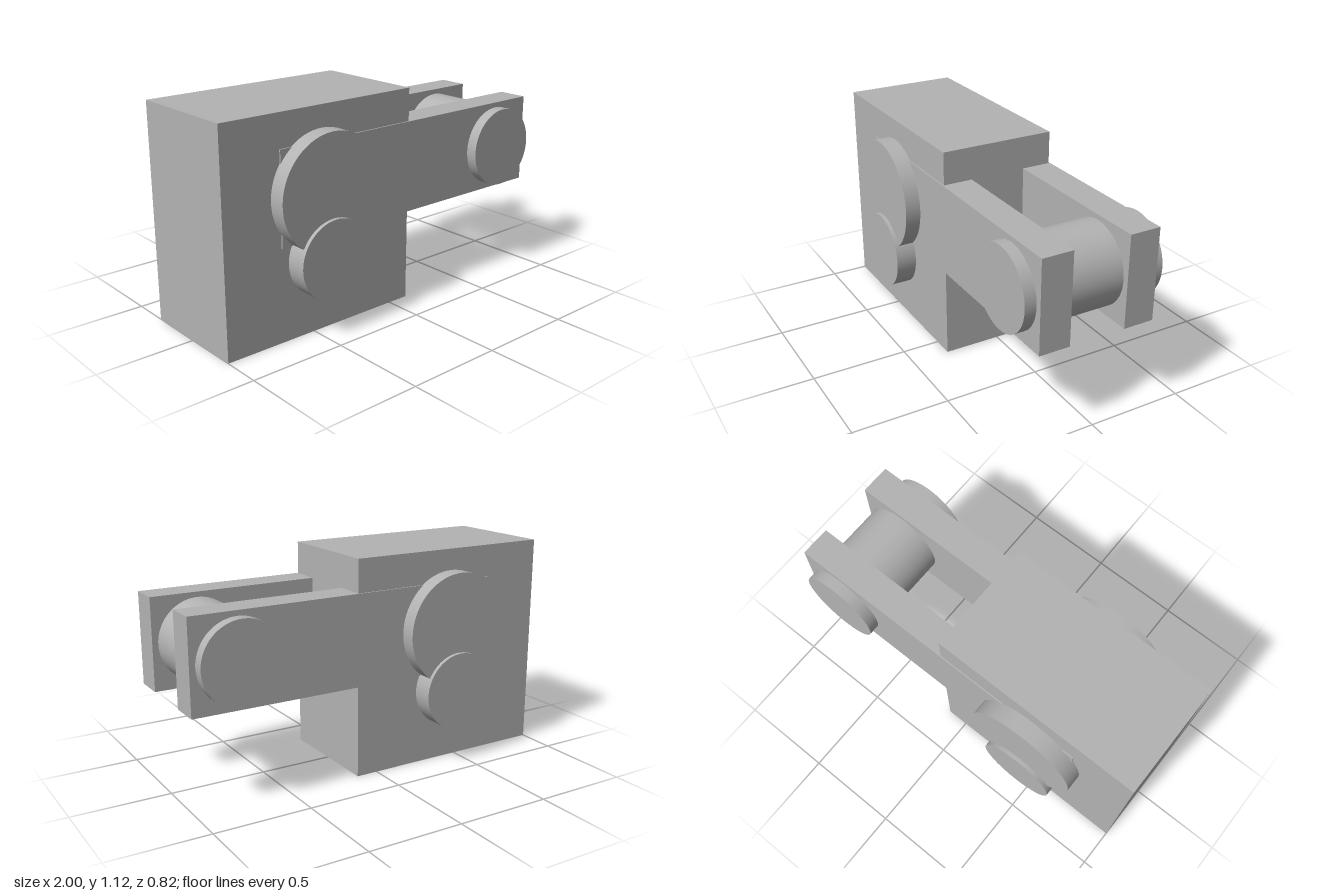
import * as THREE from 'three';

export function createModel() {
  const model = new THREE.Group();
  const grey = new THREE.MeshStandardMaterial({ color: 0xb3b3b3 });
  grey.name = 'grey';

  const add = (name, geometry, x, y, z) => {
    const mesh = new THREE.Mesh(geometry, grey);
    mesh.name = name;
    mesh.position.set(x, y, z);
    model.add(mesh);
  };

  // Round pin running through the model along z
  const addPin = (name, radius, length, x, y) =>
    add(name, new THREE.CylinderGeometry(radius, radius, length, 72).rotateX(Math.PI / 2), x, y, 0);

  // Main block
  add('body', new THREE.BoxGeometry(1.115, 1.12, 0.602), -0.4425, 0.56, 0);

  // Pair of arms, standing slightly proud of the block
  for (const side of [1, -1]) {
    add(side > 0 ? 'frontArm' : 'backArm',
      new THREE.BoxGeometry(1.685, 0.473, 0.16), 0.1575, 0.7145, side * 0.228);
  }

  // Pivots through the block and roller between the arms
  addPin('largePivot', 0.295, 0.777, -0.443, 0.715);
  addPin('smallPivot', 0.203, 0.818, -0.443, 0.39);
  addPin('roller', 0.21, 0.734, 0.76, 0.7145);

  return model;
}
